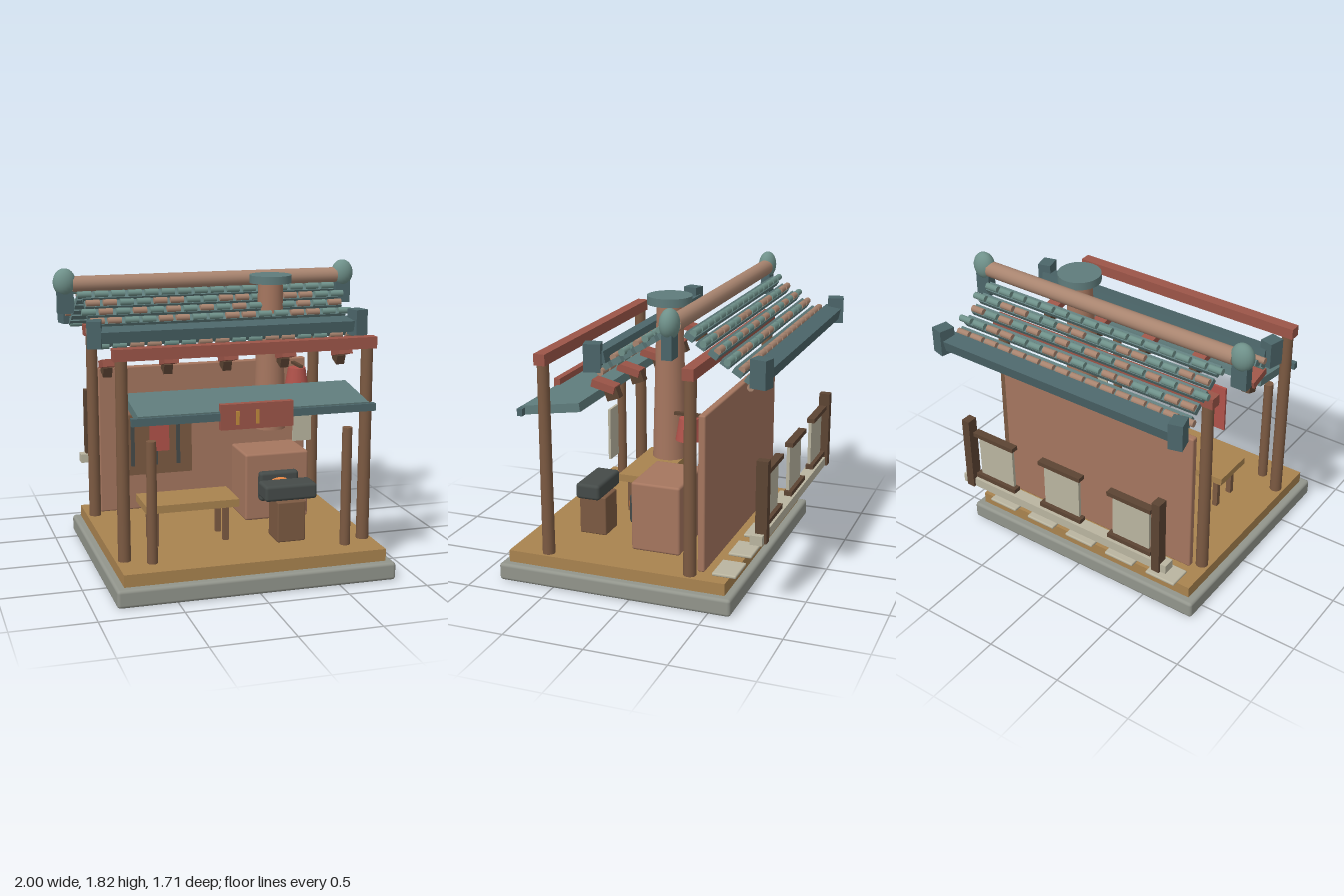
import * as THREE from 'three';
import { RoundedBoxGeometry } from 'three/addons/geometries/RoundedBoxGeometry.js';

const COLORS = {
  stone: 0x92958c, floor: 0xa9834f, wood: 0x7c5a42, darkWood: 0x5c4433, red: 0x9c5548,
  cloth: 0xb0524a, cream: 0xbab5a0, clay: 0xa5765f, teal: 0x5f7c7c, darkTeal: 0x4c666a,
  jade: 0x6f918a, tile: 0xa8846f, iron: 0x454b49, ember: 0xe58542, gold: 0xc08a3c,
};
const mats = {};
for (const k in COLORS) mats[k] = new THREE.MeshStandardMaterial({ color: COLORS[k] });

export function createModel() {
  const model = new THREE.Group();
  model.name = 'forgeHut';

  const add = (name, geo, mat, x, y, z, parent = model) => {
    const m = new THREE.Mesh(geo, mats[mat]);
    m.name = name;
    m.position.set(x, y, z);
    parent.add(m);
    return m;
  };
  // Boxes are given by centre and size; r rounds the edges
  const box = (name, mat, [x, y, z], [w, h, d], r = 0, parent = model) =>
    add(name, r ? new RoundedBoxGeometry(w, h, d, 2, r) : new THREE.BoxGeometry(w, h, d), mat, x, y, z, parent);
  const cyl = (name, mat, [x, y, z], rTop, rBottom, h, sides = 16, parent = model) =>
    add(name, new THREE.CylinderGeometry(rTop, rBottom, h, sides), mat, x, y, z, parent);

  // Base and floor
  box('stoneBase', 'stone', [0, 0.055, 0.11], [1.72, 0.11, 1.5], 0.02);
  box('woodFloor', 'floor', [0, 0.148, 0.11], [1.62, 0.075, 1.4]);
  box('backWall', 'clay', [0, 0.675, -0.408], [1.42, 0.97, 0.045], 0.01);

  // Posts and beams
  for (const z of [0.565, -0.355]) {
    for (const s of [-1, 1]) cyl('tallPost', 'wood', [s * 0.755, 0.79, z], 0.036, 0.039, 1.21);
    box('topBeam', 'red', [0, 1.42, z], [1.61, 0.07, 0.072]);
  }
  for (const s of [-1, 1]) cyl('shortPost', 'wood', [s * 0.605, 0.553, 0.65], 0.03, 0.032, 0.74);

  // Awning with its front lip and plain sign board
  box('awning', 'teal', [0, 1.094, 0.55], [1.4, 0.055, 0.38]).rotation.x = 0.15;
  box('awningLip', 'darkTeal', [0, 1.062, 0.74], [1.48, 0.045, 0.035]);
  box('signBoard', 'red', [0, 1.06, 0.742], [0.44, 0.15, 0.042]);
  for (const x of [-0.12, 0]) box('signStrip', 'gold', [x, 1.055, 0.766], [0.02, 0.08, 0.012]);

  // Brackets under the eave
  for (let i = -2; i <= 2; i++) {
    const x = i * 0.376;
    box('bracketTop', 'red', [x, 1.296, 0.167], [0.09, 0.045, 0.145]).rotation.x = -0.24;
    box('bracketBlock', 'darkWood', [x, 1.25, 0.118], [0.055, 0.065, 0.08]).rotation.x = 0.35;
  }

  // Roof: each slope has rows of strips and round tiles
  const RIDGE_Z = -0.296, SLOPE = 0.567, PITCH = 0.0705;
  const tileGeo = new THREE.CylinderGeometry(0.021, 0.021, 0.085, 10).rotateZ(Math.PI / 2);
  for (const s of [-1, 1]) {
    const slope = new THREE.Group();
    slope.name = s > 0 ? 'frontSlope' : 'backSlope';
    model.add(slope);
    for (let row = 0; row < 6; row++) {
      const out = 0.078 + row * PITCH;
      box('roofStrip', 'teal', [0, 1.645 - row * 0.044, RIDGE_Z + s * out],
        [1.66, 0.036, 0.06], 0, slope).rotation.x = s * SLOPE;
      const last = row === 5;
      const ty = last ? 1.402 : 1.667 - row * 0.0455;
      const tz = RIDGE_Z + s * (last ? 0.446 : out + 0.022);
      for (let i = 0; i < 16; i++) {
        const x = (i - 7.5) * 0.107 + (row % 2 ? 0.02 : -0.02);
        const mat = (i * 5 + row * 3 + (i * row) % 4) % 5 < 2 ? 'jade' : 'tile';
        add('roofTile', tileGeo, mat, x, ty, tz, slope);
      }
    }
    box('eaveBeam', 'darkTeal', [0, 1.472, RIDGE_Z + s * 0.485], [1.66, 0.07, 0.105], 0, slope)
      .rotation.x = s * 0.2;
    for (const sx of [-1, 1]) {
      box('eaveEndBlock', 'darkTeal', [sx * 0.838, 1.483, RIDGE_Z + s * 0.5], [0.085, 0.165, 0.1], 0, slope)
        .rotation.y = 0.25 * sx * s;
    }
  }

  // Ridge roll with finials
  cyl('ridgeRoll', 'tile', [0, 1.722, RIDGE_Z], 0.05, 0.05, 1.76, 20).rotation.z = Math.PI / 2;
  for (const s of [-1, 1]) {
    add('ridgeFinial', new THREE.SphereGeometry(1, 20, 14), 'jade', s * 0.927, 1.735, RIDGE_Z)
      .scale.set(0.073, 0.087, 0.057);
    box('finialBlock', 'darkTeal', [s * 0.925, 1.61, RIDGE_Z], [0.1, 0.14, 0.06]);
  }

  // Furnace, fire and chimney
  box('furnace', 'clay', [0.353, 0.42, -0.062], [0.425, 0.44, 0.315], 0.015);
  box('fireDoor', 'iron', [0.355, 0.43, 0.11], [0.26, 0.19, 0.065], 0.02);
  add('fire', new THREE.SphereGeometry(1, 18, 12), 'ember', 0.355, 0.433, 0.14).scale.set(0.085, 0.058, 0.042);
  cyl('chimney', 'clay', [0.355, 1.245, -0.08], 0.078, 0.105, 0.95, 24);
  cyl('chimneyCap', 'teal', [0.355, 1.74, -0.08], 0.135, 0.135, 0.05, 28);

  // Anvil on its stump
  box('anvilStump', 'wood', [0.305, 0.313, 0.43], [0.18, 0.255, 0.18], 0.008);
  box('anvil', 'iron', [0.307, 0.495, 0.43], [0.335, 0.1, 0.16], 0.02);

  // Bench
  box('benchTop', 'floor', [-0.293, 0.432, 0.275], [0.585, 0.048, 0.29]);
  for (const x of [-0.517, -0.073]) for (const z of [0.19, 0.36])
    box('benchLeg', 'wood', [x, 0.298, z], [0.035, 0.225, 0.035]);

  // Tool board
  box('toolBoard', 'wood', [-0.345, 0.653, -0.312], [0.47, 0.405, 0.028]);
  for (const x of [-0.51, -0.355, -0.205]) box('hangingTool', 'iron', [x, 0.658, -0.288], [0.022, 0.285, 0.02]);

  // Hanging cloths
  box('redCloth', 'cloth', [-0.46, 0.912, 0.25], [0.12, 0.315, 0.015]);
  box('creamCloth', 'cream', [0.46, 0.912, 0.25], [0.12, 0.315, 0.015]);

  // Lantern on its arm
  box('lanternArm', 'darkWood', [0.62, 1.13, -0.295], [0.025, 0.018, 0.17]);
  cyl('lanternShade', 'cloth', [0.62, 1.045, -0.3], 0.058, 0.08, 0.13, 16);
  cyl('lanternCord', 'wood', [0.62, 0.89, -0.3], 0.006, 0.006, 0.2, 8);

  // Window screen behind the wall
  box('windowSill', 'cream', [0, 0.47, -0.763], [1.55, 0.058, 0.075]);
  for (const s of [-1, 1]) box('screenPost', 'darkWood', [s * 0.71, 0.69, -0.78], [0.055, 0.5, 0.07]);
  for (const x of [-0.51, 0, 0.51]) {
    box('windowPane', 'cream', [x, 0.69, -0.765], [0.26, 0.31, 0.02]);
    box('windowMullion', 'red', [x, 0.69, -0.742], [0.02, 0.24, 0.014]);
    for (const y of [0.535, 0.85]) box('windowBar', 'darkWood', [x, y, -0.775], [0.31, 0.028, 0.05]);
  }

  // Stepping stones along the back
  for (let i = -2; i <= 2; i++) box('stepStone', 'cream', [i * 0.31, 0.194, -0.555], [0.21, 0.02, 0.15], 0.008);

  return model;
}
